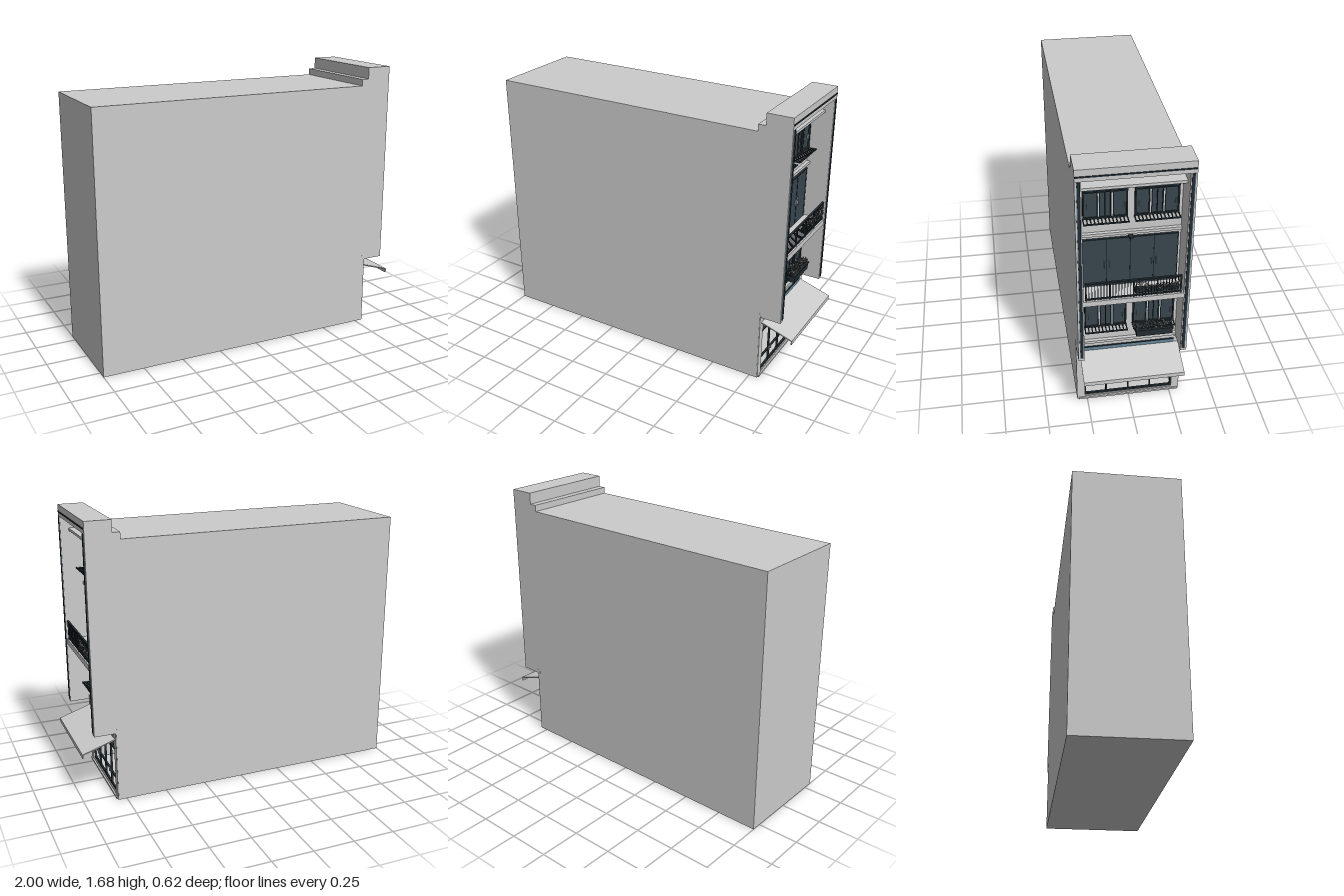
import * as THREE from 'three';

const mat = (name, color, side = THREE.FrontSide) => {
  const m = new THREE.MeshStandardMaterial({ color, side });
  m.name = name;
  return m;
};

export function createModel() {
  const root = new THREE.Group();
  root.name = 'townhouse';
  const wall = mat('wall grey', 0xcccccc);
  const glass = mat('dark glass', 0x39464e);
  const frame = mat('frame charcoal', 0x232d33);
  const blue = mat('blue glass', 0x65869a);
  const metal = mat('handle metal', 0x8d9ba3);
  const petal = mat('petal pale', 0xdcd2ce);
  const leaf = mat('leaf grey green', 0x59625a);

  // Box given by its limits on each axis
  const box = (name, m, x0, x1, y0, y1, z0, z1, parent = root) => {
    const mesh = new THREE.Mesh(new THREE.BoxGeometry(x1 - x0, y1 - y0, Math.abs(z1 - z0)), m);
    mesh.position.set((x0 + x1) / 2, (y0 + y1) / 2, (z0 + z1) / 2);
    mesh.name = name;
    parent.add(mesh);
    return mesh;
  };
  const group = (name) => {
    const g = new THREE.Group();
    g.name = name;
    root.add(g);
    return g;
  };
  // Side profile in x and y, extruded along z
  const profile = (name, m, pts, z0, z1) => {
    const shape = new THREE.Shape(pts.map(([x, y]) => new THREE.Vector2(x, y)));
    const mesh = new THREE.Mesh(
      new THREE.ExtrudeGeometry(shape, { depth: z1 - z0, bevelEnabled: false }), m);
    mesh.position.z = z0;
    mesh.name = name;
    root.add(mesh);
  };

  // Main block with the shop interior, roof steps and projecting cornice
  const roof = [[0.93, 1.68], [0.775, 1.68], [0.775, 1.61], [0.73, 1.61], [0.73, 1.57], [-1, 1.57]];
  profile('mainBlock', wall, [[-1, 0], [0.8, 0], [0.8, 0.02], [0.62, 0.02], [0.62, 0.325], [0.8, 0.325],
    [0.8, 0.44], [0.79, 0.44], [0.79, 1.61], [0.93, 1.61], ...roof], -0.275, 0.275);
  // Party walls, running forward on both sides of the bay
  for (const [a, b] of [[-0.31, -0.275], [0.275, 0.31]]) {
    profile('partyWall', wall, [[-1, 0], [0.8, 0], [0.8, 0.43], [0.93, 0.43], ...roof], a, b);
  }
  for (const s of [-1, 1]) {
    box('shopPilaster', wall, 0.62, 0.803, 0, 0.43, s * 0.264, s * 0.308);
    box('pilasterCap', wall, 0.78, 0.806, 0.43, 0.455, s * 0.276, s * 0.311);
    box('wallStrip', blue, 0.93, 0.933, 0.45, 1.61, s * 0.281, s * 0.301);
    box('wallStripEdge', frame, 0.93, 0.935, 0.45, 1.61, s * 0.281, s * 0.297);
  }
  box('corniceLine', frame, 0.93, 0.934, 1.634, 1.642, -0.308, 0.308);

  // Ledges and floor bands across the bay
  for (const y of [1.525, 0.782]) {
    box('ledge', wall, 0.79, 0.88, y, y + 0.015, -0.275, 0.275);
    box('ledgeShadowGap', frame, 0.79, 0.876, y - 0.004, y, -0.272, 0.272);
  }
  box('topBand', wall, 0.79, 0.81, 1.57, 1.61, -0.275, 0.275);
  box('floorBand', wall, 0.79, 0.81, 1.19, 1.207, -0.275, 0.275);
  box('lowerBand', wall, 0.79, 0.81, 0.44, 0.457, -0.275, 0.275);

  // Three-part windows with transom lights and a slatted shelf
  const addWindow = (y, side) => {
    const g = group('window');
    const c = side * 0.1375, h = 0.115;
    const bar = (x1, y0, y1, z0, z1) => box('windowFrame', frame, 0.79, x1, y0, y1, z0, z1, g);
    box('casementGlass', glass, 0.79, 0.797, y, y + 0.165, c - h, c + h, g);
    box('transomGlass', blue, 0.79, 0.797, y + 0.165, y + 0.21, c - h, c + h, g);
    bar(0.806, y + 0.205, y + 0.213, c - h, c + h);
    bar(0.806, y + 0.161, y + 0.168, c - h, c + h);
    bar(0.806, y, y + 0.01, c - h, c + h);
    for (const z of [-h, h]) bar(0.806, y, y + 0.213, c + z - 0.004, c + z + 0.004);
    for (const z of [-0.036, 0.036]) {
      bar(0.804, y, y + 0.21, c + z - 0.009, c + z + 0.009);
      box('casementGap', wall, 0.804, 0.806, y + 0.012, y + 0.158, c + z - 0.003, c + z + 0.003, g);
    }
    bar(0.804, y, y + 0.165, c - 0.002, c + 0.002);
    for (const z of [-0.098, 0.098]) {
      box('windowHandle', metal, 0.797, 0.808, y + 0.06, y + 0.09, c + z - 0.002, c + z + 0.002, g);
    }
    box('shelfRail', frame, 0.845, 0.851, y - 0.008, y, c - 0.122, c + 0.122, g);
    for (let i = 0; i < 13; i++) {
      const z = c - 0.118 + i * 0.0197;
      box('shelfSlat', frame, 0.79, 0.846, y - 0.007, y - 0.002, z - 0.003, z + 0.003, g);
    }
  };
  for (const y of [1.3, 0.558]) for (const s of [-1, 1]) addWindow(y, s);

  // Balcony doors
  const doors = group('balconyDoors');
  box('doorGlass', glass, 0.79, 0.799, 0.85, 1.165, -0.262, 0.262, doors);
  box('doorHead', frame, 0.79, 0.803, 1.16, 1.166, -0.262, 0.262, doors);
  for (const z of [-0.26, -0.13, 0, 0.13, 0.26]) {
    box('doorStile', frame, 0.79, 0.801, 0.85, 1.163, z - 0.0025, z + 0.0025, doors);
  }
  for (const z of [-0.142, -0.116, 0.116, 0.142]) {
    box('doorHandle', metal, 0.799, 0.81, 0.975, 1.02, z - 0.002, z + 0.002, doors);
  }
  box('doorLamp', frame, 0.79, 0.82, 1.166, 1.174, -0.012, 0.012, doors);

  // Balcony slab and railing
  box('balconySlab', wall, 0.79, 0.928, 0.816, 0.85, -0.275, 0.275);
  const rail = group('balconyRailing');
  box('topRail', frame, 0.912, 0.924, 0.96, 0.968, -0.265, 0.265, rail);
  box('bottomRail', frame, 0.914, 0.922, 0.856, 0.863, -0.265, 0.265, rail);
  for (let i = 0; i <= 32; i++) {
    const z = -0.26 + i * 0.01625, t = i % 8 ? 0.0016 : 0.004;
    box('baluster', frame, 0.918 - t, 0.918 + t, 0.85, 0.962, z - t, z + t, rail);
  }

  // Flowers scattered by a small seeded generator
  let seed = 7;
  const rnd = () => (seed = (seed * 16807) % 2147483647) / 2147483647;
  const bloom = new THREE.OctahedronGeometry(0.005);
  const addFlowers = (name, n, x0, x1, y0, y1, z0, z1) => {
    const g = group(name);
    for (let i = 0; i < n; i++) {
      const m = new THREE.Mesh(bloom, i % 2 ? petal : leaf);
      m.name = i % 2 ? 'blossom' : 'leaf';
      m.position.set(x0 + (x1 - x0) * rnd(), y0 + (y1 - y0) * rnd(), z0 + (z1 - z0) * rnd());
      m.rotation.set(rnd() * 3, rnd() * 3, 0);
      m.scale.setScalar(0.6 + 0.5 * rnd());
      g.add(m);
    }
  };
  addFlowers('balconyFlowers', 170, 0.9, 0.93, 0.892, 0.937, -0.255, -0.01);
  addFlowers('windowFlowers', 150, 0.805, 0.86, 0.548, 0.585, -0.24, -0.035);
  box('balconyPlanter', frame, 0.89, 0.912, 0.865, 0.895, -0.255, -0.01);
  box('windowPlanter', frame, 0.8, 0.862, 0.505, 0.545, -0.242, -0.032);
  box('planterRim', frame, 0.798, 0.866, 0.54, 0.55, -0.246, -0.028);

  // Shopfront: glazing bars, handles, transom and doorstep
  const shop = group('shopfront');
  for (const z of [-0.26, -0.133, 0, 0.133, 0.26]) {
    box('shopMullion', frame, 0.782, 0.794, 0.02, 0.325, z - 0.004, z + 0.004, shop);
  }
  for (const [a, b] of [[0.018, 0.032], [0.104, 0.112], [0.291, 0.298], [0.318, 0.326]]) {
    box('shopRail', frame, 0.782, 0.794, a, b, -0.262, 0.262, shop);
  }
  for (const z of [-0.145, -0.121, 0.121, 0.145]) {
    box('shopHandle', metal, 0.794, 0.802, 0.1, 0.132, z - 0.002, z + 0.002, shop);
  }
  box('shopTransom', blue, 0.8, 0.805, 0.335, 0.408, -0.264, 0.264, shop);
  box('transomHead', frame, 0.8, 0.808, 0.408, 0.413, -0.264, 0.264, shop);
  box('doorstep', wall, 0.79, 0.81, 0, 0.012, -0.3, 0.3, shop);

  // Sloping awning with a short front flap
  profile('awning', wall, [[0.8, 0.38], [0.994, 0.318], [0.994, 0.297], [1, 0.297], [1, 0.323],
    [0.8, 0.387]], -0.29, 0.29);

  return root;
}
